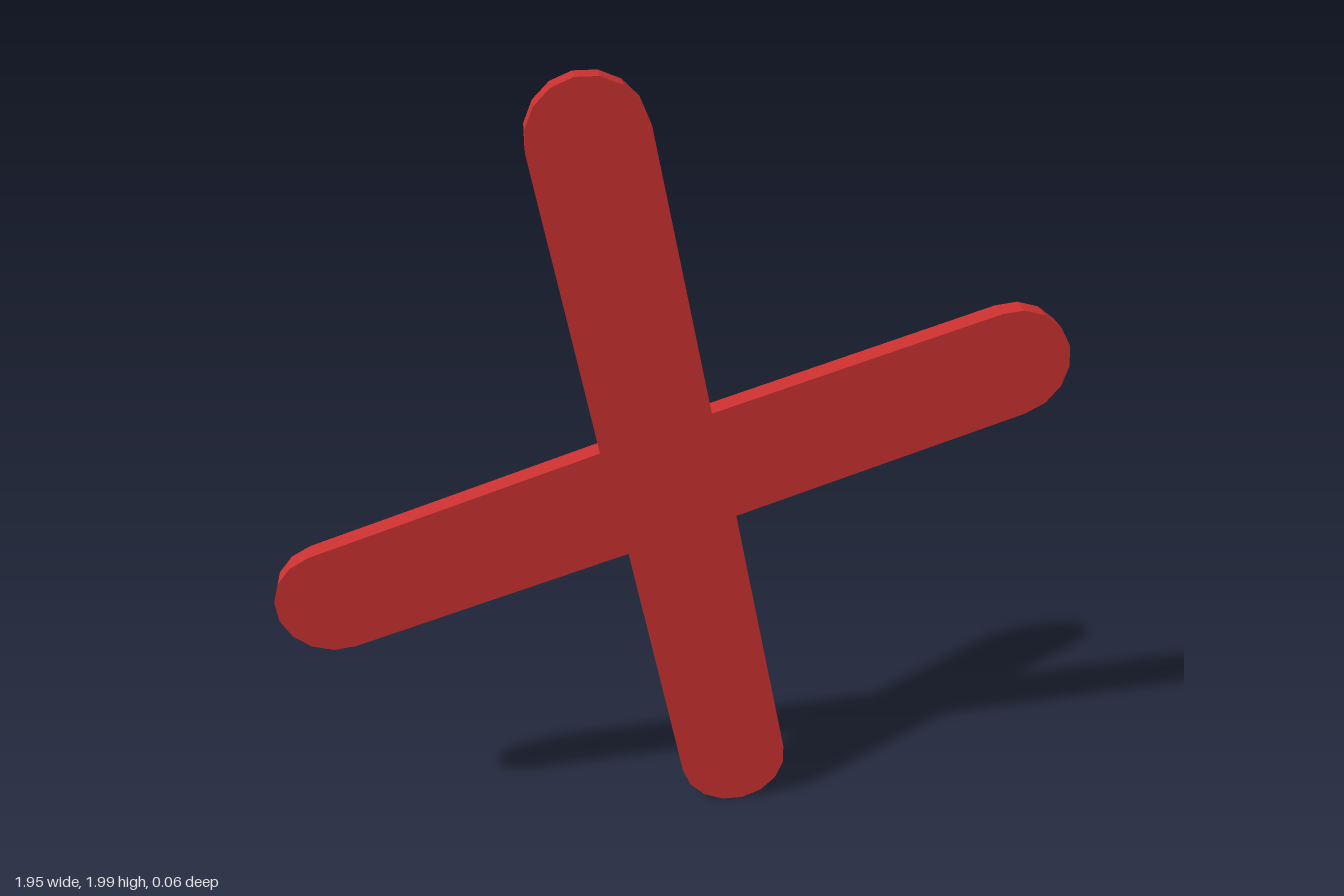
import * as THREE from 'three';

export function createModel() {
  const group = new THREE.Group();
  group.name = 'crossMarker';

  const radius = 0.14, depth = 0.056;
  // Cap centres of two neighbouring arms, each with the inner corner that follows it;
  // the other two arms are the same turned by half a turn about the middle.
  const arms = [
    { cap: [0.835, 0.275], corner: [0.102, 0.188] },
    { cap: [-0.175, 0.86], corner: [-0.167, 0.098] },
  ];

  // One outline, counter-clockwise: round cap, then inner corner, four times
  const outline = new THREE.Shape();
  for (const s of [1, -1]) {
    for (const { cap, corner } of arms) {
      const [x, y] = [cap[0] * s, cap[1] * s];
      const a = Math.atan2(y, x);
      outline.absarc(x, y, radius, a - Math.PI / 2, a + Math.PI / 2, false);
      outline.lineTo(corner[0] * s, corner[1] * s);
    }
  }

  const geometry = new THREE.ExtrudeGeometry(outline, { depth, bevelEnabled: false, curveSegments: 4 });
  geometry.translate(0, 1, -depth / 2);

  const cross = new THREE.Mesh(geometry, new THREE.MeshStandardMaterial({ color: 0xc83030 }));
  cross.name = 'cross';
  group.add(cross);
  return group;
}
